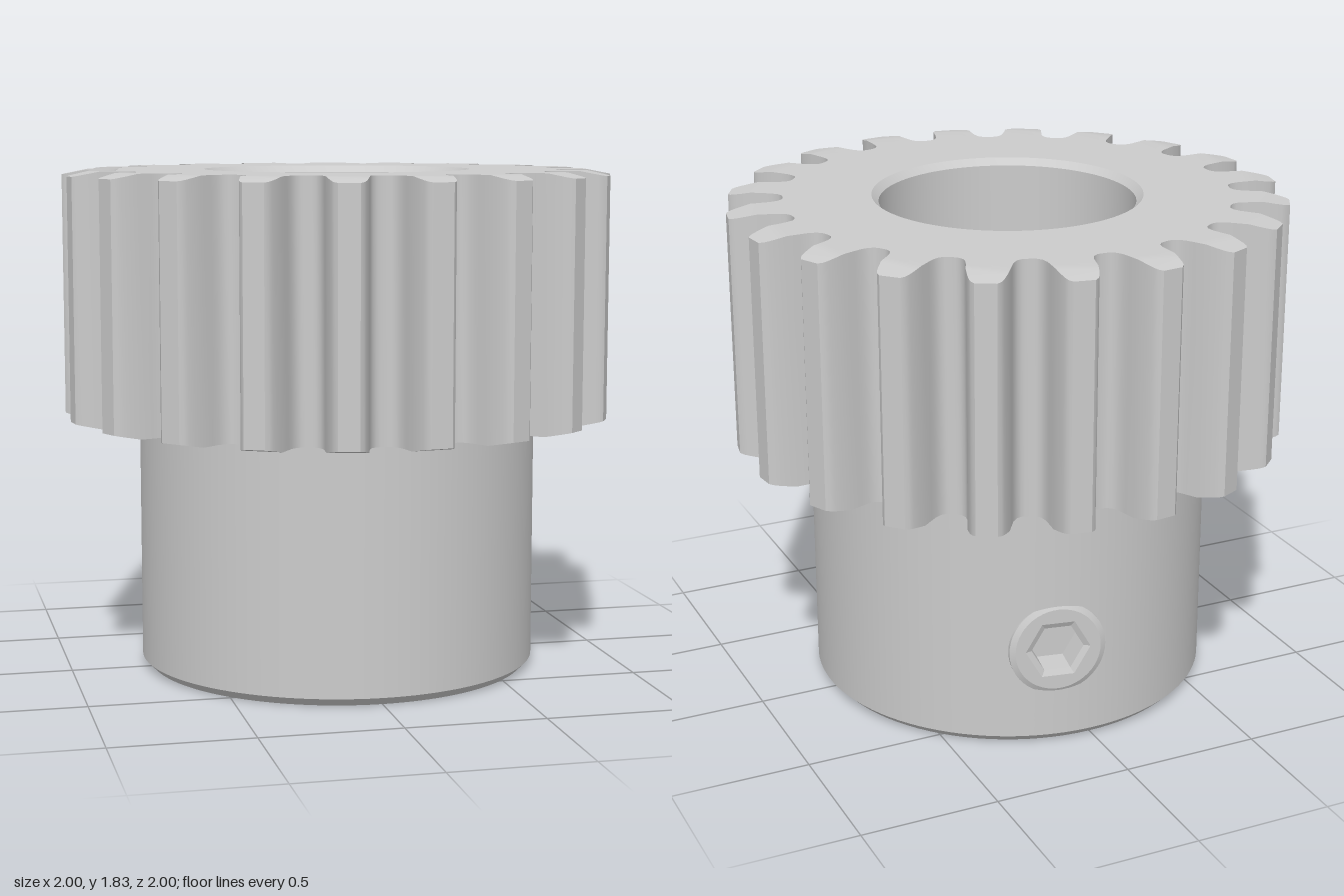
import * as THREE from 'three';
import { mergeGeometries, toCreasedNormals } from 'three/addons/utils/BufferGeometryUtils.js';

const TEETH = 20, PITCH = (2 * Math.PI) / TEETH, FIRST = THREE.MathUtils.degToRad(7.2);
const Y0 = 0.92, Y1 = 1.83, HUB_R = 0.73, BORE_R = 0.46, BORE_EDGE = 0.485;
const CUT_R = 0.915, TIP_R = 1.003, TIP_DROP = 0.018;
const SCREW_PHI = THREE.MathUtils.degToRad(169.2), SCREW_Y = 0.37;

// Half tooth as [radius, half angle in degrees], from the root to the tip
const ROOT = [[0.8, 8.2], [0.803, 7.2], [0.815, 6.1], [0.84, 5.3], [0.87, 4.9], [CUT_R, 4.45]];
const TIP = [[CUT_R, 4.45], [0.95, 3.85], [0.975, 3.35], [0.992, 2.85], [TIP_R, 2.1]];

const polar = (r, a) => new THREE.Vector2(r * Math.cos(a), r * Math.sin(a));
const circle = (r, n) => Array.from({ length: n }, (_, i) => polar(r, (i / n) * 2 * Math.PI));
const rad = THREE.MathUtils.degToRad;

// Both flanks of a half profile, anticlockwise around the tooth axis
function flanks(profile, axis) {
  const up = profile.map(([r, d]) => polar(r, axis - rad(d)));
  const down = profile.map(([r, d]) => polar(r, axis + rad(d))).reverse();
  return [...up, ...down];
}

function extrude(shape) {
  return new THREE.ExtrudeGeometry(shape, { depth: Y1 - Y0, bevelEnabled: false });
}

function gearGeometry() {
  const outline = [], parts = [];
  for (let i = 0; i < TEETH; i++) outline.push(...flanks(ROOT, FIRST + i * PITCH));
  const core = new THREE.Shape(outline);
  core.holes.push(new THREE.Path(circle(BORE_EDGE, 96)));
  parts.push(extrude(core));

  // Tooth tips, with both ends sloping down towards the rim
  const tip = extrude(new THREE.Shape(flanks(TIP, 0)));
  const p = tip.attributes.position;
  const base = CUT_R * Math.cos(rad(4.45));
  for (let i = 0; i < p.count; i++) {
    const drop = TIP_DROP * Math.max(0, (p.getX(i) - base) / (TIP_R - base));
    p.setZ(i, p.getZ(i) > 0.1 ? p.getZ(i) - drop : p.getZ(i) + drop);
  }
  for (let i = 0; i < TEETH; i++) parts.push(tip.clone().rotateZ(FIRST + i * PITCH));

  const gear = mergeGeometries(parts);
  gear.rotateX(-Math.PI / 2).translate(0, Y0, 0);
  return toCreasedNormals(gear, rad(28));
}

// Part of the hub wall, bent to the cylinder, with a round hole for the screw
function holedWall(halfAngle, y0, y1, holeR) {
  const geo = new THREE.PlaneGeometry(1, 1, 64, 8);
  const { position, normal } = geo.attributes;
  const w = halfAngle * HUB_R;
  const corners = [[-w, y0], [w, y0], [w, y1], [-w, y1], [-w, y0]];
  for (let i = 0; i < position.count; i++) {
    const u = (position.getX(i) + 0.5) * 4, v = position.getY(i) + 0.5;
    const k = Math.min(3, Math.floor(u + 1e-6)), t = u - k;
    const ex = THREE.MathUtils.lerp(corners[k][0], corners[k + 1][0], t);
    const ey = THREE.MathUtils.lerp(corners[k][1], corners[k + 1][1], t) - SCREW_Y;
    const toHole = holeR / Math.hypot(ex, ey);
    const f = THREE.MathUtils.lerp(1, toHole, v);
    const phi = SCREW_PHI + (ex * f) / HUB_R;
    position.setXYZ(i, HUB_R * Math.sin(phi), SCREW_Y + ey * f, HUB_R * Math.cos(phi));
    normal.setXYZ(i, Math.sin(phi), 0, Math.cos(phi));
  }
  return geo;
}

export function createModel() {
  const model = new THREE.Group();
  const grey = new THREE.MeshStandardMaterial({ color: 0xcccccc });
  const add = (name, geometry, parent = model) => {
    const mesh = new THREE.Mesh(geometry, grey);
    mesh.name = name;
    parent.add(mesh);
    return mesh;
  };

  add('toothedGear', gearGeometry());

  // Chamfered bore, running on into the hub's lower face and chamfer
  const profile = [
    [BORE_EDGE, Y1], [BORE_R, Y1 - 0.025], [BORE_R, 0.025],
    [BORE_EDGE, 0], [0.7, 0], [HUB_R, 0.03],
  ].map(([x, y]) => new THREE.Vector2(x, y));
  add('boreAndHubBase', toCreasedNormals(new THREE.LatheGeometry(profile, 96), rad(25)));

  // Hub wall
  const half = 0.35;
  const wall = [new THREE.Vector2(HUB_R, 0.03), new THREE.Vector2(HUB_R, Y0)];
  add('hubWall', new THREE.LatheGeometry(wall, 96, SCREW_PHI + half, 2 * Math.PI - 2 * half));
  add('hubWallAroundScrew', holedWall(half, 0.03, Y0, 0.16));

  // Set screw with a hexagonal socket
  const screw = new THREE.Group();
  screw.name = 'setScrew';
  const face = new THREE.Shape(circle(0.175, 48));
  face.holes.push(new THREE.Path(circle(0.095, 6)));
  const body = new THREE.ExtrudeGeometry(face, {
    depth: 0.18, bevelEnabled: true, bevelSize: 0.02, bevelOffset: -0.02,
    bevelThickness: 0.01, bevelSegments: 1,
  });
  body.translate(0, 0, 0.545);
  add('screwBody', toCreasedNormals(body, rad(20)), screw);
  add('socketFloor', new THREE.CircleGeometry(0.12, 6), screw).position.z = 0.62;
  screw.position.y = SCREW_Y;
  screw.rotation.y = SCREW_PHI;
  model.add(screw);

  return model;
}
